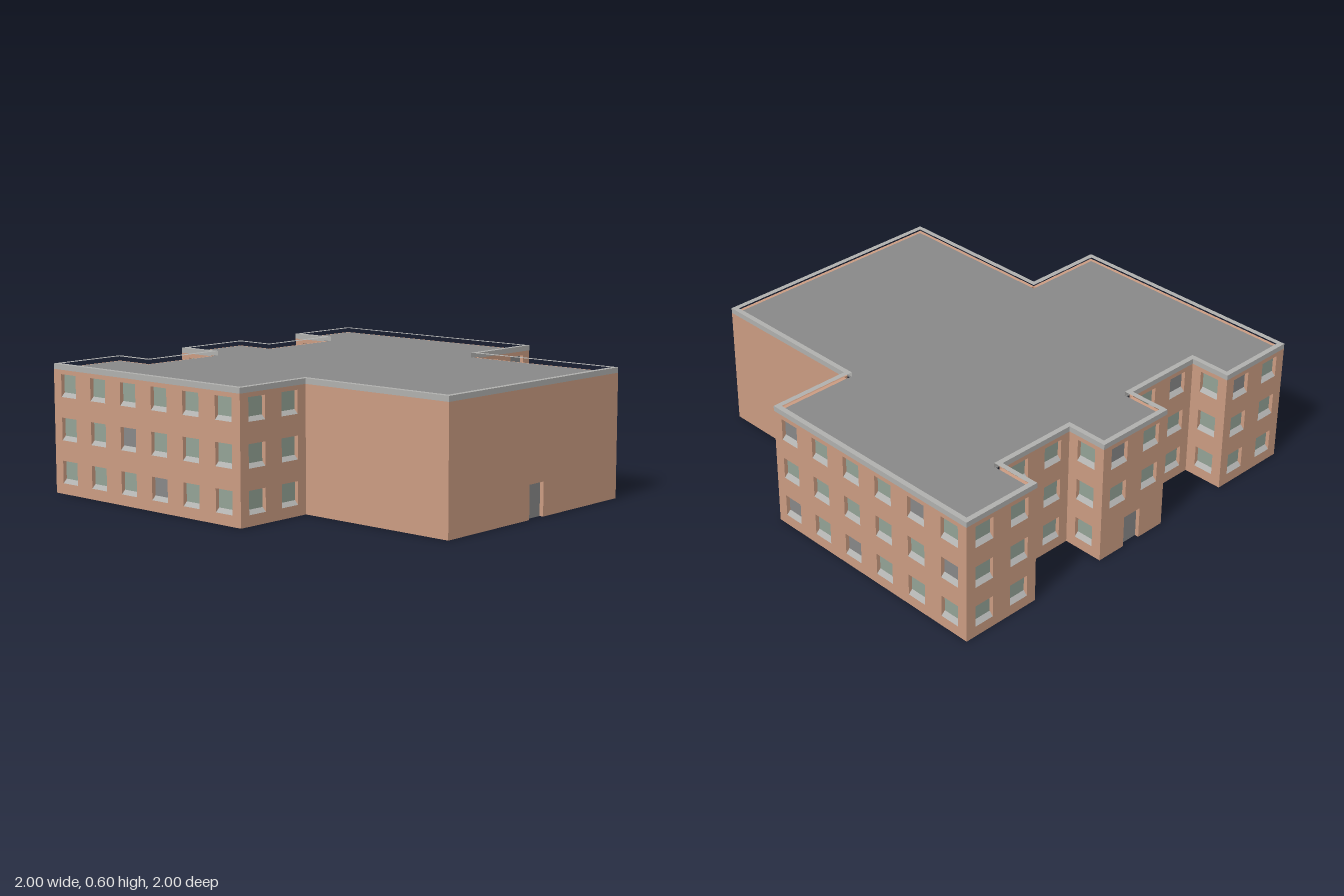
import * as THREE from 'three';

const H = 0.6, BAND = 0.025, DEPTH = 0.02;   // wall height, parapet size, recess depth
const WIN_W = 0.1, WIN_H = 0.105, DOOR_H = 0.155, BAY = 0.2, SILL_Y = 0.05;

const mat = (name, color) => {
  const m = new THREE.MeshStandardMaterial({ color });
  m.name = name;
  return m;
};

// Footprint as [x, z]; each wall starts at its point and runs to the next.
// rows: panes per storey from the top down (g = green glass, d = dark glass).
const WALLS = [
  { at: [-0.6, 1], door: true },
  { at: [0.6, 1] },
  { at: [0.6, 0.2], rows: ['gd', 'gg', 'gd'] },
  { at: [1, 0.2], rows: ['dgggdg', 'gggggd', 'dgdggg'] },
  { at: [1, -1], rows: ['gg', 'gg', 'gg'] },
  { at: [0.6, -1], rows: ['d', 'd', 'g'] },
  { at: [0.6, -0.8], rows: ['gg', 'dg', 'dg'] },
  { at: [0.2, -0.8], rows: ['g', 'g', 'g'] },
  { at: [0.2, -1], rows: ['dg', 'gg', ''], door: true },
  { at: [-0.2, -1], rows: ['g', 'g', 'd'] },
  { at: [-0.2, -0.8], rows: ['gd', 'gg', 'gg'] },
  { at: [-0.6, -0.8], rows: ['g', 'g', 'g'] },
  { at: [-0.6, -1], rows: ['dg', 'gg', 'gg'] },
  { at: [-1, -1], rows: ['gggggg', 'ggdggg', 'gggdgg'] },
  { at: [-1, 0.2], rows: ['gg', 'gg', 'gg'] },
  { at: [-0.6, 0.2] },
];

const N = WALLS.length;
const corner = (i) => new THREE.Vector2(...WALLS[(i + N) % N].at);
const along = (i) => corner(i + 1).sub(corner(i)).normalize();
const outward = (i) => { const d = along(i); return new THREE.Vector2(-d.y, d.x); };

// Footprint moved inward by t on every side
const outline = (t) => WALLS.map((_, i) =>
  corner(i).addScaledVector(outward(i), -t).addScaledVector(outward(i - 1), -t));

const rect = (x0, y0, x1, y1) =>
  [[x0, y0], [x1, y0], [x1, y1], [x0, y1]].map((p) => new THREE.Vector2(...p));

export function createModel() {
  const group = new THREE.Group();
  group.name = 'building';
  const brick = mat('brick', 0xcb9c82);
  const concrete = mat('light concrete', 0xb0b0ae);
  const grey = mat('dark grey', 0x888888);
  const green = mat('green glass', 0x94a396);

  const add = (parent, name, geometry, material, x = 0, y = 0, z = 0) => {
    const mesh = new THREE.Mesh(geometry, material);
    mesh.name = name;
    mesh.position.set(x, y, z);
    parent.add(mesh);
    return mesh;
  };
  // Horizontal slab hanging down from its own origin
  const slab = (shape, depth) =>
    new THREE.ExtrudeGeometry(shape, { depth, bevelEnabled: false }).rotateX(Math.PI / 2);

  const paneGeo = new THREE.PlaneGeometry(WIN_W, WIN_H);
  const doorGeo = new THREE.PlaneGeometry(WIN_W, DOOR_H);
  // Sloping wedge at the foot of each window recess
  const wedge = new THREE.Shape(
    [[0, 0], [DEPTH, 0], [DEPTH, 0.02]].map((p) => new THREE.Vector2(...p)));
  const sillGeo = new THREE.ExtrudeGeometry(wedge, { depth: WIN_W, bevelEnabled: false })
    .rotateY(Math.PI / 2).translate(-WIN_W / 2, 0, 0);

  WALLS.forEach((w, i) => {
    const a = corner(i), n = outward(i), len = corner(i + 1).distanceTo(a);
    const wall = new THREE.Group();
    wall.name = 'wall' + (i + 1);
    wall.position.set(a.x, 0, a.y);
    wall.rotation.y = Math.atan2(n.x, n.y);
    group.add(wall);

    // Wall outline, with a notch for the door
    const pts = rect(0, 0, len, H - BAND);
    if (w.door) {
      const d = rect(len / 2 - WIN_W / 2, 0, len / 2 + WIN_W / 2, DOOR_H);
      pts.splice(1, 0, d[0], d[3], d[2], d[1]);
      add(wall, 'door', doorGeo, grey, len / 2, DOOR_H / 2, -DEPTH + 0.001);
    }
    const shape = new THREE.Shape(pts);

    // Recessed windows with sills
    (w.rows || []).forEach((row, r) => [...row].forEach((pane, c) => {
      const x = BAY * (c + 0.5), y = SILL_Y + BAY * (2 - r);
      shape.holes.push(new THREE.Path(rect(x - WIN_W / 2, y, x + WIN_W / 2, y + WIN_H)));
      add(wall, 'windowPane', paneGeo, pane === 'd' ? grey : green,
        x, y + WIN_H / 2, -DEPTH + 0.001);
      add(wall, 'windowSill', sillGeo, concrete, x, y, 0);
    }));

    const geo = new THREE.ExtrudeGeometry(shape, { depth: DEPTH, bevelEnabled: false });
    add(wall, 'brickwork', geo.translate(0, 0, -DEPTH), brick);
  });

  // Parapet ring around the roof edge
  const ring = new THREE.Shape(outline(0));
  ring.holes.push(new THREE.Path(outline(BAND)));
  add(group, 'parapet', slab(ring, BAND), concrete, 0, H, 0);

  // Flat roof and underside
  add(group, 'roof', slab(new THREE.Shape(outline(BAND - 0.005)), 0.006), grey, 0, H - BAND + 0.002, 0);
  const base = new THREE.ShapeGeometry(new THREE.Shape(outline(DEPTH))).rotateX(Math.PI / 2);
  add(group, 'underside', base, brick);

  return group;
}
